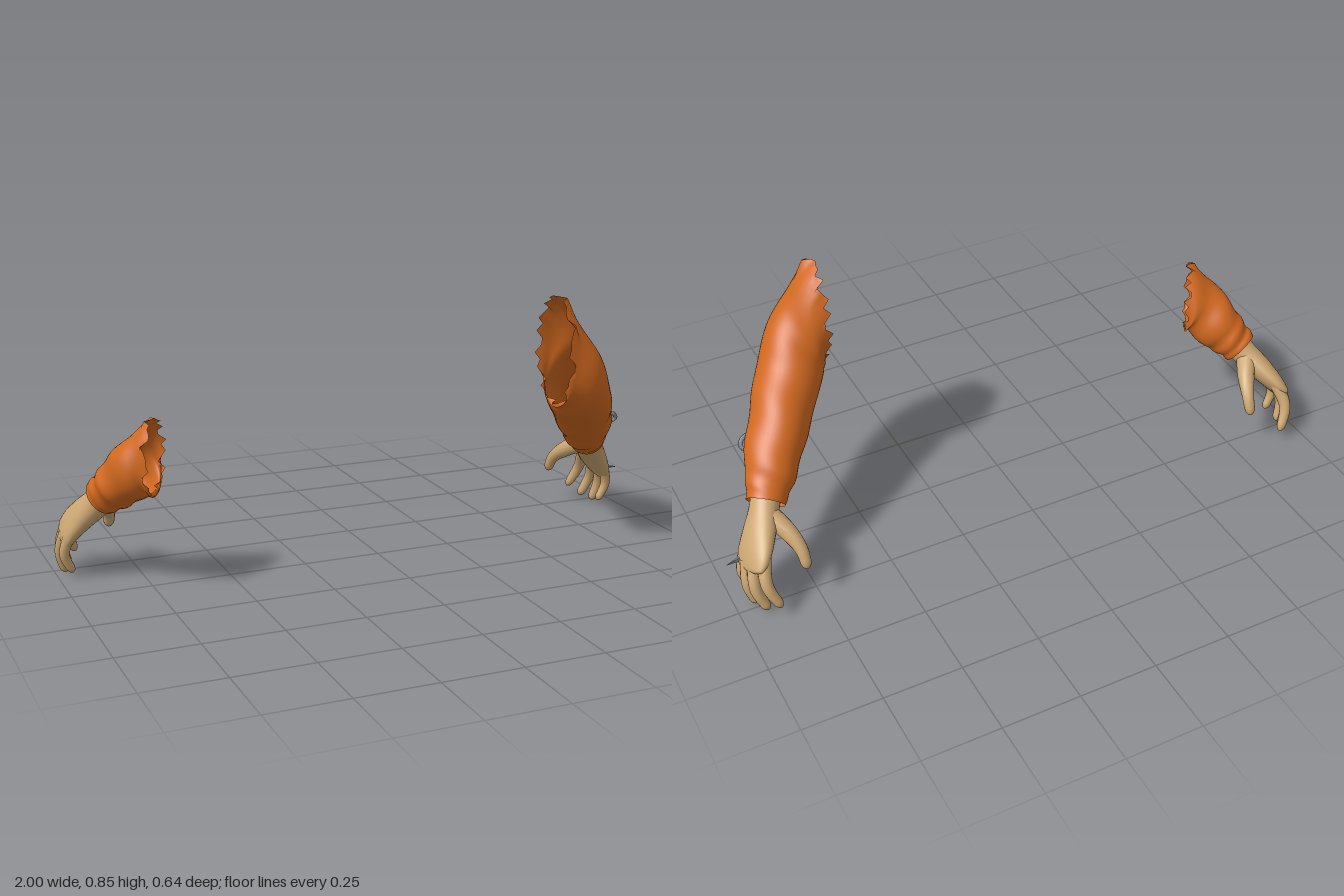
import * as THREE from 'three';

const sleeveMat = new THREE.MeshStandardMaterial({ color: 0xd0681f, side: THREE.DoubleSide });
sleeveMat.name = 'orange cloth';
const skinMat = new THREE.MeshStandardMaterial({ color: 0xcba672 });
skinMat.name = 'tan skin';
const metalMat = new THREE.MeshStandardMaterial({ color: 0x8f939b, side: THREE.DoubleSide });
metalMat.name = 'grey metal';

// Sweeps an oval section along control rings [x, y, z, halfThickness, halfWidth].
function loft(rings, o) {
  const { n = 18, m = 18, side = 1, start, round = 0, cap = false, fold, jag } = o;
  const path = new THREE.CatmullRomCurve3(rings.map(r => new THREE.Vector3(r[0], r[1], r[2])));
  const size = new THREE.CatmullRomCurve3(
    rings.map(r => new THREE.Vector3(r[3], r[4], 0)), false, 'catmullrom', 0.5);
  const Z = new THREE.Vector3(0, 0, 1);
  const pos = [], index = [];
  for (let i = 0; i <= n; i++) {
    const t = round ? 1 - Math.pow(1 - i / n, 1.8) : i / n;
    const c = path.getPoint(t), s = size.getPoint(t), T = path.getTangent(t);
    if (start) T.lerp(start, Math.max(0, 1 - t / 0.3)).normalize();
    const u = new THREE.Vector3().crossVectors(Z, T).normalize();
    const w = new THREE.Vector3().crossVectors(T, u);
    const k = t > 1 - round ? Math.sqrt(Math.max(0, 1 - ((t - 1 + round) / round) ** 2)) : 1;
    for (let j = 0; j < m; j++) {
      const a = j / m * Math.PI * 2;
      const f = k * (fold ? 1 + fold(t, a) : 1);
      const p = c.clone().addScaledVector(u, Math.cos(a) * s.x * f).addScaledVector(w, Math.sin(a) * s.y * f);
      if (jag) p.addScaledVector(T, -jag(j) * Math.max(0, 1 - t / 0.06));
      pos.push(p.x * side + (side < 0 ? -0.03 : 0), p.y, p.z);
    }
  }
  const tri = (a, b, c) => side > 0 ? index.push(a, b, c) : index.push(a, c, b);
  for (let i = 0; i < n; i++) for (let j = 0; j < m; j++) {
    const a = i * m + j, b = i * m + (j + 1) % m;
    tri(a, b, a + m);
    tri(b, b + m, a + m);
  }
  if (cap) for (let j = 1; j < m - 1; j++) tri(0, j + 1, j);
  const g = new THREE.BufferGeometry();
  g.setAttribute('position', new THREE.Float32BufferAttribute(pos, 3));
  g.setIndex(index);
  g.computeVertexNormals();
  return g;
}

function add(parent, name, geometry, material) {
  const mesh = new THREE.Mesh(geometry, material);
  mesh.name = name;
  parent.add(mesh);
  return mesh;
}

// Torn edge: irregular teeth around the open end
const tear = amount => j => amount * (0.6 * Math.sin(j * 2.4) + 0.4 * Math.sin(j * 5.1 + 1) + (j % 5 === 0 ? 0.5 : 0));
// Cloth folds that fade out at the cuff
const folds = (amount, rate) => (t, a) => {
  const fade = Math.min(1, (1 - t) * 7);
  return amount * fade * (Math.sin(rate * t + 2.2 * Math.sin(a + 0.6)) + 0.6 * Math.sin(3 * a + 9 * t));
};

const forearm = [
  [0.75, 0.385, 0.01, 0.09, 0.09],
  [0.795, 0.325, -0.055, 0.079, 0.079],
  [0.82, 0.293, -0.088, 0.066, 0.066],
  [0.838, 0.27, -0.112, 0.06, 0.06],
];
const longSleeve = [
  [0.52, 0.67, 0.208, 0.172, 0.108],
  [0.57, 0.60, 0.21, 0.122, 0.108],
  [0.625, 0.53, 0.175, 0.103, 0.108],
  [0.69, 0.452, 0.088, 0.097, 0.1],
  ...forearm,
];
const shortSleeve = [[0.715, 0.42, 0.045, 0.118, 0.09], ...forearm];

const palm = [
  [0.825, 0.29, -0.09, 0.045, 0.048],
  [0.852, 0.248, -0.125, 0.043, 0.052],
  [0.885, 0.207, -0.165, 0.04, 0.066],
  [0.915, 0.167, -0.198, 0.033, 0.078],
  [0.93, 0.142, -0.213, 0.026, 0.077],
  [0.938, 0.122, -0.224, 0.018, 0.066],
];
const digits = {
  littleFinger: [[0.938, 0.14, -0.156, 0.018, 0.018], [0.951, 0.08, -0.166, 0.016, 0.016], [0.925, 0.018, -0.173, 0.013, 0.013]],
  ringFinger: [[0.938, 0.15, -0.19, 0.021, 0.021], [0.953, 0.075, -0.217, 0.018, 0.018], [0.935, 0.002, -0.231, 0.015, 0.015]],
  middleFinger: [[0.925, 0.17, -0.217, 0.021, 0.021], [0.942, 0.085, -0.258, 0.018, 0.018], [0.915, 0.008, -0.28, 0.015, 0.015]],
  indexFinger: [[0.9, 0.19, -0.24, 0.022, 0.022], [0.915, 0.115, -0.29, 0.019, 0.019], [0.885, 0.037, -0.318, 0.014, 0.014]],
  thumb: [[0.845, 0.25, -0.14, 0.034, 0.034], [0.808, 0.215, -0.2, 0.028, 0.028], [0.786, 0.172, -0.252, 0.02, 0.02], [0.782, 0.118, -0.282, 0.016, 0.016]],
};

function makeHand(name, side) {
  const hand = new THREE.Group();
  hand.name = name;
  add(hand, 'palm', loft(palm, { side, n: 24, m: 28, cap: true, round: 0.12 }), skinMat);
  for (const [digit, rings] of Object.entries(digits))
    add(hand, digit, loft(rings, { side, round: 0.14, n: 20, m: 14 }), skinMat);
  return hand;
}

export function createModel() {
  const model = new THREE.Group();
  model.name = 'arms';

  // Left arm: long bent sleeve torn off above the elbow
  const left = new THREE.Group();
  left.name = 'leftArm';
  add(left, 'leftSleeve', loft(longSleeve, {
    n: 60, m: 44, start: new THREE.Vector3(1, 0, 0), fold: folds(0.028, 30), jag: tear(0.018),
  }), sleeveMat);
  left.add(makeHand('leftHand', 1));

  // Right arm: short sleeve torn off below the elbow
  const right = new THREE.Group();
  right.name = 'rightArm';
  add(right, 'rightSleeve', loft(shortSleeve, {
    side: -1, n: 40, m: 40, start: new THREE.Vector3(0.84, 0, -0.545), fold: folds(0.04, 22), jag: tear(0.016),
  }), sleeveMat);
  right.add(makeHand('rightHand', -1));

  // Curved metal sliver stuck in the left forearm
  const sliver = new THREE.CatmullRomCurve3([
    [0.795, 0.404, 0.063], [0.836, 0.398, 0.056], [0.85, 0.38, 0.045], [0.84, 0.368, 0.036], [0.8, 0.362, 0.03],
  ].map(p => new THREE.Vector3(...p)));
  add(left, 'forearmSliver', new THREE.TubeGeometry(sliver, 16, 0.007, 6), metalMat);

  // Pointed shard on the back of the left hand
  const from = new THREE.Vector3(0.935, 0.143, -0.168), tip = new THREE.Vector3(1, 0.133, -0.173);
  const dir = tip.clone().sub(from);
  const shard = add(left, 'handShard', new THREE.ConeGeometry(0.013, dir.length(), 3).toNonIndexed(), metalMat);
  shard.geometry.computeVertexNormals();
  shard.position.copy(from).addScaledVector(dir, 0.5);
  shard.quaternion.setFromUnitVectors(new THREE.Vector3(0, 1, 0), dir.normalize());

  model.add(left, right);
  return model;
}
